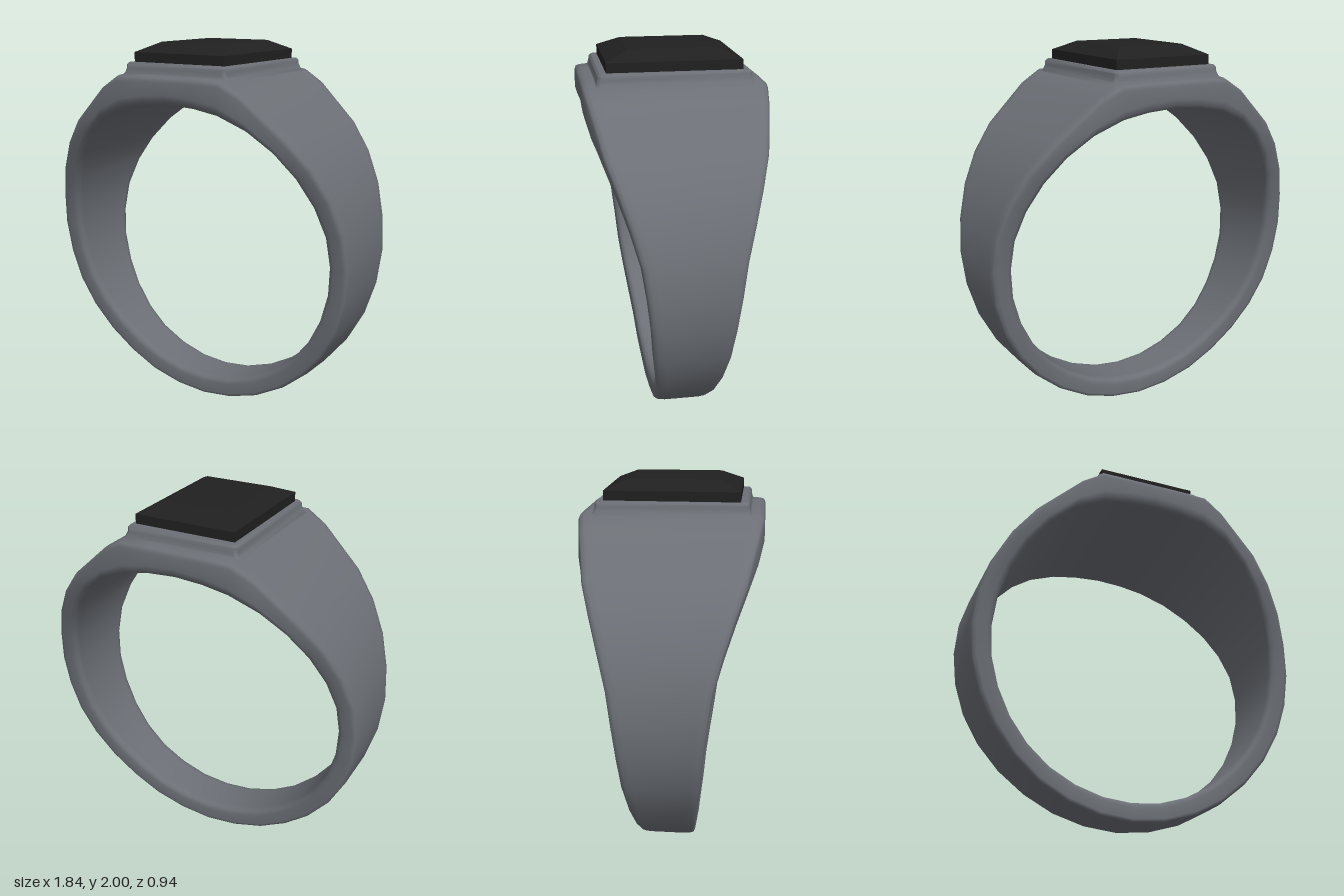
import * as THREE from 'three';
import { toCreasedNormals } from 'three/addons/utils/BufferGeometryUtils.js';

// Closed-section loft; rings is an array of equal-length loops of [x, y, z]
function loft(rings, { wrap = false, cap = false } = {}) {
  const n = rings[0].length, count = rings.length;
  const index = [];
  for (let s = 0; s < (wrap ? count : count - 1); s++) {
    for (let j = 0; j < n; j++) {
      const a = s * n + j, b = s * n + (j + 1) % n;
      const c = ((s + 1) % count) * n + j, d = ((s + 1) % count) * n + (j + 1) % n;
      index.push(a, c, b, b, c, d);
    }
  }
  if (cap) {
    const t = (count - 1) * n;
    for (let j = 1; j < n - 1; j++) index.push(t, t + j + 1, t + j);
  }
  const geometry = new THREE.BufferGeometry();
  geometry.setAttribute('position', new THREE.Float32BufferAttribute(rings.flat(2), 3));
  geometry.setIndex(index);
  geometry.computeVertexNormals();
  return geometry;
}

// Stack of rectangles [halfX, halfZ, y] with corners cut by r
function tiers(levels, r) {
  return loft(levels.map(([x, z, y]) => {
    const corners = [[1, 1], [1, -1], [-1, -1], [-1, 1]];
    return corners.flatMap(([sx, sz]) => {
      if (!r) return [[sx * x, y, sz * z]];
      const pair = [[sx * (x - r), y, sz * z], [sx * x, y, sz * (z - r)]];
      return sx * sz > 0 ? pair : pair.reverse();
    }).reverse();
  }), { cap: true });
}

// Band swept around 32 stations, widening into the flat shoulder at the top
function bandGeometry() {
  const centre = 0.925, outerR = 0.92, innerR = 0.81;
  const widths = [0.13, 0.13, 0.135, 0.14, 0.155, 0.175, 0.195, 0.21, 0.23,
    0.255, 0.30, 0.35, 0.40, 0.45, 0.47, 0.47, 0.47];
  const outerTop = { 13: [0.42, 1.775], 14: [0.31, 1.84], 15: [0.155, 1.845], 16: [0, 1.845] };
  const innerTop = { 14: [0.295, 1.665], 15: [0.15, 1.69], 16: [0, 1.70] };
  const rings = [];
  for (let i = 0; i < 32; i++) {
    const k = i <= 16 ? i : 32 - i, side = i <= 16 ? 1 : -1;
    const angle = k * Math.PI / 16;
    const at = (r) => [r * Math.sin(angle), centre - r * Math.cos(angle)];
    const outer = outerTop[k] || at(outerR), inner = innerTop[k] || at(innerR);
    const thick = Math.hypot(outer[0] - inner[0], outer[1] - inner[1]);
    const w = widths[k], round = 0.02 + 0.012 * k / 16;
    const bevel = k > 12 ? 0.042 : 0.022;
    // half section: [z, distance from inner surface]
    const half = [
      [w - 2.2 * round, thick], [w - round, thick - 0.003],
      [w - 0.3 * round, thick - 0.3 * round], [w, thick - round],
      [w, bevel + 0.01], [w - 0.008, bevel * 0.5],
      [w - 0.025, bevel * 0.12], [w - 0.045, 0],
    ];
    const section = [...half, ...half.map(([z, d]) => [-z, d]).reverse()];
    rings.push(section.map(([z, d]) => {
      const t = d / thick;
      return [side * (inner[0] + (outer[0] - inner[0]) * t), inner[1] + (outer[1] - inner[1]) * t, z];
    }));
  }
  return loft(rings, { wrap: true });
}

export function createModel() {
  const metal = new THREE.MeshStandardMaterial({ color: 0x6c7076 });
  metal.name = 'grey metal';
  const black = new THREE.MeshStandardMaterial({ color: 0x202020 });
  black.name = 'black stone';

  const model = new THREE.Group();
  model.name = 'signetRing';
  const add = (name, geometry, material) => {
    const mesh = new THREE.Mesh(geometry, material);
    mesh.name = name;
    model.add(mesh);
  };

  add('band', bandGeometry(), metal);

  // Raised setting with a flared foot and softened rim
  add('setting', toCreasedNormals(tiers([
    [0.33, 0.41, 1.825], [0.315, 0.397, 1.847], [0.306, 0.392, 1.868],
    [0.306, 0.39, 1.888], [0.296, 0.38, 1.9],
  ], 0.015), 0.7), metal);

  // Stone with straight girdle and bevelled crown
  add('stone', toCreasedNormals(tiers([
    [0.277, 0.347, 1.89], [0.277, 0.347, 1.95], [0.187, 0.228, 2.0],
  ], 0), 0.2), black);

  return model;
}
